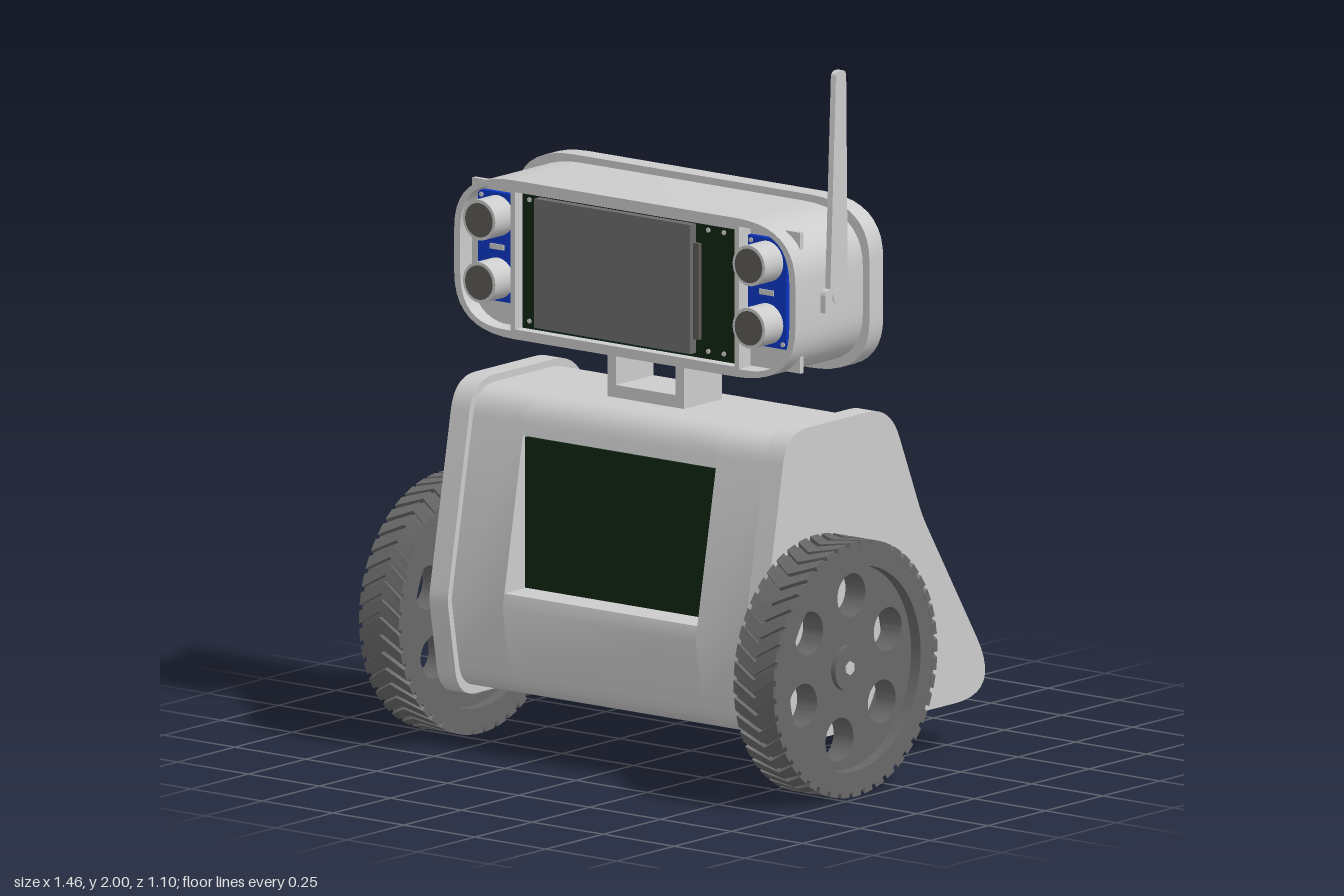
import * as THREE from 'three';
import { mergeGeometries, toCreasedNormals } from 'three/addons/utils/BufferGeometryUtils.js';

const material = (name, color) => {
  const m = new THREE.MeshStandardMaterial({ color });
  m.name = name;
  return m;
};

export function createModel() {
  const model = new THREE.Group();
  model.name = 'robot';
  const shellGray = material('light gray', 0xcccccc);
  const wheelGray = material('wheel gray', 0x686868);
  const screenGray = material('screen gray', 0x6c6c6c);
  const sensorGray = material('sensor gray', 0x5c5955);
  const boardGreen = material('board green', 0x0f2512);
  const boardBlue = material('board blue', 0x0c36c4);

  const add = (name, geometry, mat, parent = model) => {
    const mesh = new THREE.Mesh(geometry, mat);
    mesh.name = name;
    parent.add(mesh);
    return mesh;
  };
  const box = (name, x0, x1, y0, y1, z0, z1, mat) => {
    const mesh = add(name, new THREE.BoxGeometry(x1 - x0, y1 - y0, z1 - z0), mat);
    mesh.position.set((x0 + x1) / 2, (y0 + y1) / 2, (z0 + z1) / 2);
    return mesh;
  };
  const extrude = (shape, depth, curveSegments = 10) =>
    toCreasedNormals(new THREE.ExtrudeGeometry(shape, { depth, curveSegments, bevelEnabled: false }), 0.5);
  const circlePath = (x, y, r) => new THREE.Path().absarc(x, y, r, 0, Math.PI * 2, true);

  // Side profile from [z, y, corner radius], extruded along x
  function profile(points) {
    const shape = new THREE.Shape();
    const p = points.map(([z, y]) => new THREE.Vector2(-z, y));
    p.forEach((c, i) => {
      const r = points[i][2] || 0;
      const toward = (q) => c.clone().add(q.clone().sub(c).setLength(r));
      const a = toward(p[(i + p.length - 1) % p.length]);
      const b = toward(p[(i + 1) % p.length]);
      if (i === 0) shape.moveTo(a.x, a.y);
      else shape.lineTo(a.x, a.y);
      if (r) shape.quadraticCurveTo(c.x, c.y, b.x, b.y);
    });
    shape.closePath();
    return shape;
  }
  const slab = (name, points, x0, x1) => {
    const mesh = add(name, extrude(profile(points), x1 - x0).rotateY(Math.PI / 2), shellGray);
    mesh.position.x = x0;
  };

  // Body: side plates, and a core with a recess in its front
  const plate = [[0.305, 1.02, 0.09], [0.37, 0.14, 0.08], [-0.63, 0.14, 0.2],
    [-0.286, 0.69, 0.04], [-0.148, 1.02, 0.1]];
  plate.splice(1, 0, [0.417, 0.42, 0.03]);
  const rear = [[0.355, 0.165, 0.07], [-0.592, 0.165, 0.18], [-0.267, 0.685, 0.04], [-0.135, 1, 0.1]];
  const frontBend = [0.399, 0.42, 0];
  const topFront = [0.29, 1, 0.08];
  const recess = [[0.31, 0.89], [0.295, 0.89], [0.295, 0.46], [0.391, 0.46]];
  slab('leftSidePlate', plate, 0.52, 0.585);
  slab('rightSidePlate', plate, -0.585, -0.52);
  slab('bodyLeft', [topFront, frontBend, ...rear], 0.34, 0.52);
  slab('bodyRight', [topFront, frontBend, ...rear], -0.52, -0.34);
  slab('bodyMiddle', [topFront, ...recess, frontBend, ...rear], -0.34, 0.34);
  box('bodyPanel', -0.338, 0.338, 0.462, 0.885, 0.294, 0.303, boardGreen);

  // Neck bracket
  const neck = new THREE.Shape([[-0.16, 0.99], [0.11, 0.99], [0.11, 1.15], [-0.16, 1.15]]
    .map(([x, y]) => new THREE.Vector2(x, y)));
  neck.holes.push(new THREE.Path([[-0.13, 1.035], [-0.13, 1.135], [0.08, 1.135], [0.08, 1.035]]
    .map(([x, y]) => new THREE.Vector2(x, y))));
  add('neck', extrude(neck, 0.165), shellGray);

  // Head: rounded housing with three openings, and a wider back cap
  const headX = -0.026, headY = 1.3625;
  function headOutline(w, h) {
    const s = new THREE.Shape(), cx = w - 0.21, cy = h - 0.16;
    s.moveTo(cx, -h).quadraticCurveTo(w, -h, w, -cy);
    s.lineTo(w, cy).quadraticCurveTo(w, h, cx, h);
    s.lineTo(-cx, h).quadraticCurveTo(-w, h, -w, cy);
    s.lineTo(-w, -cy).quadraticCurveTo(-w, -h, -cx, -h);
    s.closePath();
    return s;
  }
  const housing = headOutline(0.601, 0.2225);
  housing.holes.push(new THREE.Path([[-0.386, -0.195], [-0.386, 0.19], [0.386, 0.19], [0.386, -0.195]]
    .map(([x, y]) => new THREE.Vector2(x, y))));
  for (const s of [-1, 1]) {
    const opening = new THREE.Path();
    opening.moveTo(s * 0.402, -0.2).lineTo(s * 0.43, -0.2);
    opening.quadraticCurveTo(s * 0.58, -0.2, s * 0.58, -0.06).lineTo(s * 0.58, 0.06);
    opening.quadraticCurveTo(s * 0.58, 0.2, s * 0.43, 0.2).lineTo(s * 0.402, 0.2);
    opening.closePath();
    housing.holes.push(opening);
  }
  add('headHousing', extrude(housing, 0.295), shellGray).position.set(headX, headY, -0.04);
  add('headBackCap', extrude(headOutline(0.624, 0.2425), 0.06), shellGray).position.set(headX, headY, -0.1);
  box('headBacking', -0.58, 0.53, 1.2, 1.53, 0.19, 0.205, shellGray);
  for (const s of [-1, 1]) box('sideBacking', headX + s * 0.49 - 0.088, headX + s * 0.49 + 0.088, 1.165, 1.56, 0.19, 0.205, shellGray);

  // Display
  box('displayBoard', -0.411, 0.359, 1.168, 1.552, 0.2, 0.225, boardGreen);
  box('display', -0.35, 0.2, 1.18, 1.542, 0.225, 0.25, screenGray);
  box('displayRibbon', 0.2, 0.22, 1.22, 1.49, 0.225, 0.238, sensorGray);
  const dot = new THREE.CylinderGeometry(0.007, 0.007, 0.004, 10).rotateX(Math.PI / 2);
  for (const x of [-0.385, 0.245, 0.3, 0.345])
    for (const y of [1.19, 1.53]) add('displayScrew', dot, shellGray).position.set(x, y, 0.226);

  // Distance sensors, one pair on each side
  const can = new THREE.CylinderGeometry(0.057, 0.057, 0.1, 32).rotateX(Math.PI / 2);
  const mesh = new THREE.CylinderGeometry(0.048, 0.048, 0.004, 32).rotateX(Math.PI / 2);
  for (const s of [-1, 1]) {
    const x = headX + s * 0.475;
    box('sensorBoard', x - 0.068, x + 0.068, 1.23, 1.535, 0.2, 0.222, boardBlue);
    for (const y of [1.295, 1.47]) {
      add('sensorCan', can, shellGray).position.set(x, y, 0.252);
      add('sensorFace', mesh, sensorGray).position.set(x, y, 0.302);
    }
    for (const dx of [-0.056, 0.056])
      for (const y of [1.243, 1.522]) add('sensorScrew', dot, shellGray).position.set(x + dx, y, 0.223);
    box('sensorChip', x - 0.025, x + 0.025, 1.375, 1.39, 0.222, 0.226, shellGray);
  }

  // Antenna
  slab('antenna', [[0.148, 1.39, 0.012], [0.148, 1.33], [0.05, 1.33], [0.058, 2, 0.02],
    [0.102, 2, 0.02], [0.127, 1.395]], 0.577, 0.595);
  const pin = add('antennaPin', new THREE.CylinderGeometry(0.02, 0.02, 0.03, 20).rotateZ(Math.PI / 2), shellGray);
  pin.position.set(0.583, 1.37, 0.098);

  // Wheels: ring, drilled disc, hub and chevron tread, with the axis along local z
  const R = 0.345, LUGS = 44;
  const ring = new THREE.Shape().absarc(0, 0, R, 0, Math.PI * 2, false);
  ring.holes.push(circlePath(0, 0, 0.286));
  const disc = new THREE.Shape().absarc(0, 0, 0.29, 0, Math.PI * 2, false);
  for (let i = 0; i < 6; i++) {
    const a = (82.5 + i * 60) * Math.PI / 180;
    disc.holes.push(circlePath(0.2 * Math.cos(a), 0.2 * Math.sin(a), 0.061));
  }
  const ringGeo = extrude(ring, 0.138, 36).translate(0, 0, -0.069);
  const discGeo = extrude(disc, 0.07, 24).translate(0, 0, -0.035);
  const lugs = [];
  for (let i = 0; i < LUGS; i++) {
    const lug = new THREE.BoxGeometry(0.034, 0.02, 0.14, 1, 1, 2);
    const p = lug.attributes.position;
    for (let k = 0; k < p.count; k++) {
      const z = p.getZ(k), r = R + 0.003 + p.getY(k);
      const a = Math.PI / 2 - (p.getX(k) + 0.6 * Math.abs(z)) / R - i * Math.PI * 2 / LUGS;
      p.setXY(k, r * Math.cos(a), r * Math.sin(a));
    }
    lug.computeVertexNormals();
    lugs.push(lug);
  }
  const treadGeo = mergeGeometries(lugs);
  const hubGeo = new THREE.CylinderGeometry(0.063, 0.063, 0.1, 32).rotateX(Math.PI / 2);
  const boltGeo = new THREE.CylinderGeometry(0.02, 0.02, 0.106, 6).rotateX(Math.PI / 2);
  const axleGeo = new THREE.CylinderGeometry(0.04, 0.04, 0.09, 24).rotateX(Math.PI / 2).translate(0, 0, -0.05);
  for (const s of [-1, 1]) {
    const wheel = new THREE.Group();
    wheel.name = s > 0 ? 'leftWheel' : 'rightWheel';
    add('tire', ringGeo, wheelGray, wheel);
    add('wheelDisc', discGeo, wheelGray, wheel);
    add('tread', treadGeo, wheelGray, wheel);
    add('hub', hubGeo, wheelGray, wheel);
    add('bolt', boltGeo, shellGray, wheel);
    add('axle', axleGeo, wheelGray, wheel);
    wheel.rotation.y = s * Math.PI / 2;
    wheel.position.set(s * 0.66, 0.358, 0.185);
    model.add(wheel);
  }
  return model;
}
